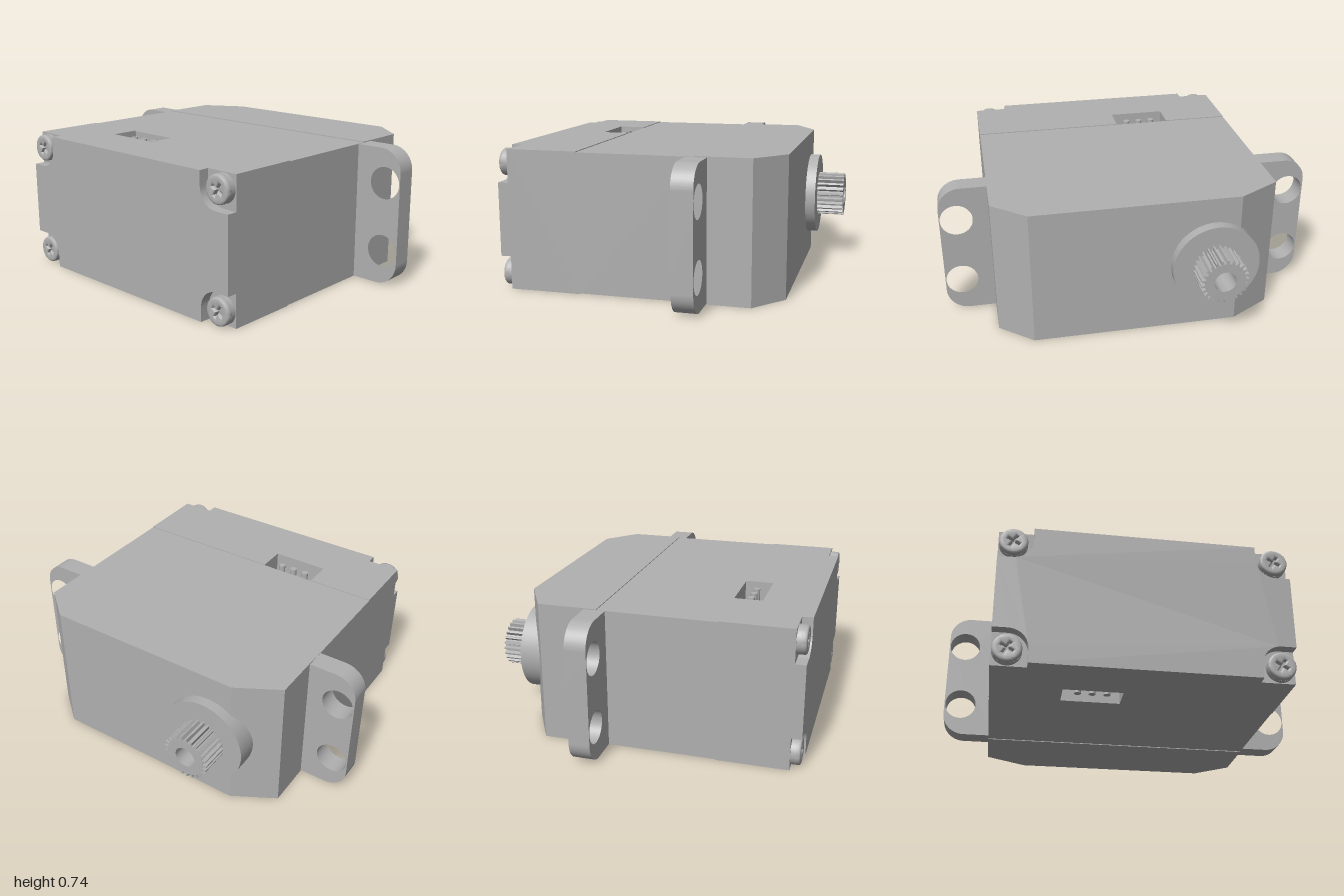
import * as THREE from 'three';
import { toCreasedNormals } from 'three/addons/utils/BufferGeometryUtils.js';

const H = 0.74, HALF = 0.74, MID = H / 2;

export function createModel() {
  const model = new THREE.Group();
  const grey = new THREE.MeshStandardMaterial({ color: 0xb0b0b0 });
  grey.name = 'grey plastic';

  const add = (name, geometry, parent = model) => {
    const mesh = new THREE.Mesh(geometry, grey);
    mesh.name = name;
    parent.add(mesh);
    return mesh;
  };
  const box = (name, x0, x1, y0, y1, z0, z1) =>
    add(name, new THREE.BoxGeometry(x1 - x0, y1 - y0, z1 - z0)
      .translate((x0 + x1) / 2, (y0 + y1) / 2, (z0 + z1) / 2));
  const polygon = pts => new THREE.Shape(pts.map(p => new THREE.Vector2(...p)));
  const circleHole = (x, y, r) => new THREE.Path().absarc(x, y, r, 0, Math.PI * 2, true);
  const extrude = (shape, depth) =>
    new THREE.ExtrudeGeometry(shape, { depth, bevelEnabled: false, curveSegments: 24 });

  // Outline drawn in (-z, y), pushed along +x
  const extrudeX = (shape, x0, x1) =>
    toCreasedNormals(extrude(shape, x1 - x0).rotateY(Math.PI / 2).translate(x0, 0, 0), 0.5);
  // Outline given as [x, z], pushed up over the whole body height
  const extrudeY = pts =>
    extrude(polygon(pts.map(([x, z]) => [x, -z])), H).rotateX(-Math.PI / 2);

  // Rear cover with a rounded notch at each corner for the screws
  const notch = (sx, sy) => {
    const pts = [[0.565, MID]];
    for (let i = 0; i <= 10; i++) {
      const a = Math.PI - (i / 10) * Math.PI / 2;
      pts.push([0.665 + 0.1 * Math.cos(a), MID - 0.075 - 0.1 * Math.sin(a)]);
    }
    pts.push([HALF, MID - 0.175]);
    const out = pts.map(([u, v]) => [sx * u, MID + sy * v]);
    return sx * sy > 0 ? out.reverse() : out;
  };
  add('rearCover', extrudeX(polygon(
    [...notch(1, -1), ...notch(1, 1), ...notch(-1, 1), ...notch(-1, -1)]), -0.84, -0.785));

  // Rear case with a connector pocket open at top and bottom
  add('rearCase', extrudeY([
    [-0.785, -HALF], [-0.41, -HALF], [-0.41, -0.38], [-0.56, -0.38],
    [-0.56, -0.075], [-0.41, -0.075], [-0.41, HALF], [-0.785, HALF]]));
  box('pocketFloor', -0.56, -0.41, 0.2, H - 0.2, -0.38, -0.075);
  for (const z of [-0.3, -0.225, -0.15]) {
    add('connectorPin', new THREE.CylinderGeometry(0.018, 0.018, H - 0.03, 20)
      .translate(-0.485, MID, z));
  }

  // Middle case, slightly thinner so it leaves fine steps
  box('middleCase', -0.41, 0.2, 0.004, H - 0.004, -HALF, HALF);

  // Front case with two chamfered edges
  add('frontCase', extrudeY([
    [0.2, -HALF], [0.51, -HALF], [0.635, -0.52],
    [0.635, 0.565], [0.49, HALF], [0.2, HALF]]));

  // Mounting ears: rounded, each with two screw holes
  for (const s of [-1, 1]) {
    const r = 0.12, y0 = 0.005, y1 = H - 0.005;
    const ear = new THREE.Shape();
    ear.moveTo(s * 0.7, y0);
    ear.lineTo(s * (1 - r), y0);
    ear.absarc(s * (1 - r), y0 + r, r, -Math.PI / 2, s > 0 ? 0 : -Math.PI, s < 0);
    ear.lineTo(s, y1 - r);
    ear.absarc(s * (1 - r), y1 - r, r, s > 0 ? 0 : Math.PI, Math.PI / 2, s < 0);
    ear.lineTo(s * 0.7, y1);
    for (const y of [0.187, 0.553]) ear.holes.push(circleHole(s * 0.91, y, 0.085));
    add('mountingEar', extrudeX(ear, 0.155, 0.265));
  }

  // Output shaft: round collar and splined, hollow shaft
  const output = new THREE.Group();
  output.name = 'outputShaft';
  output.position.set(0, 0.375, -0.387);
  model.add(output);
  add('collar', new THREE.CylinderGeometry(0.23, 0.23, 0.19, 64)
    .rotateZ(Math.PI / 2).translate(0.595, 0, 0), output);
  const teeth = 25, spline = [];
  for (let i = 0; i < teeth; i++) {
    for (const [f, r] of [[-0.32, 0.105], [-0.14, 0.125], [0.14, 0.125], [0.32, 0.105]]) {
      const a = (i + f) / teeth * Math.PI * 2;
      spline.push([r * Math.cos(a), r * Math.sin(a)]);
    }
  }
  const splineShape = polygon(spline);
  splineShape.holes.push(circleHole(0, 0, 0.057));
  add('spline', extrudeX(splineShape, 0.69, 0.84), output);

  // Corner screws with cross recesses
  const screwBase = new THREE.CylinderGeometry(0.072, 0.072, 0.024, 32)
    .rotateZ(Math.PI / 2).translate(-0.797, 0, 0);
  const headShape = new THREE.Shape().absarc(0, 0, 0.06, 0, Math.PI * 2);
  const w = 0.017, l = 0.045;
  headShape.holes.push(new THREE.Path([
    [w, w], [w, l], [-w, l], [-w, w], [-l, w], [-l, -w],
    [-w, -w], [-w, -l], [w, -l], [w, -w], [l, -w], [l, w]]
    .map(p => new THREE.Vector2(...p))));
  const screwHead = toCreasedNormals(new THREE.ExtrudeGeometry(headShape, {
    depth: 0.012, bevelSize: 0.012, bevelThickness: 0.012, bevelSegments: 3, curveSegments: 16,
  }).rotateY(-Math.PI / 2).rotateX(Math.PI / 6).translate(-0.811, 0, 0), 0.6);
  for (const y of [0.076, H - 0.076]) {
    for (const z of [-0.664, 0.664]) {
      const screw = new THREE.Group();
      screw.name = 'cornerScrew';
      screw.position.set(0, y, z);
      add('screwBase', screwBase, screw);
      add('screwHead', screwHead, screw);
      model.add(screw);
    }
  }
  return model;
}
